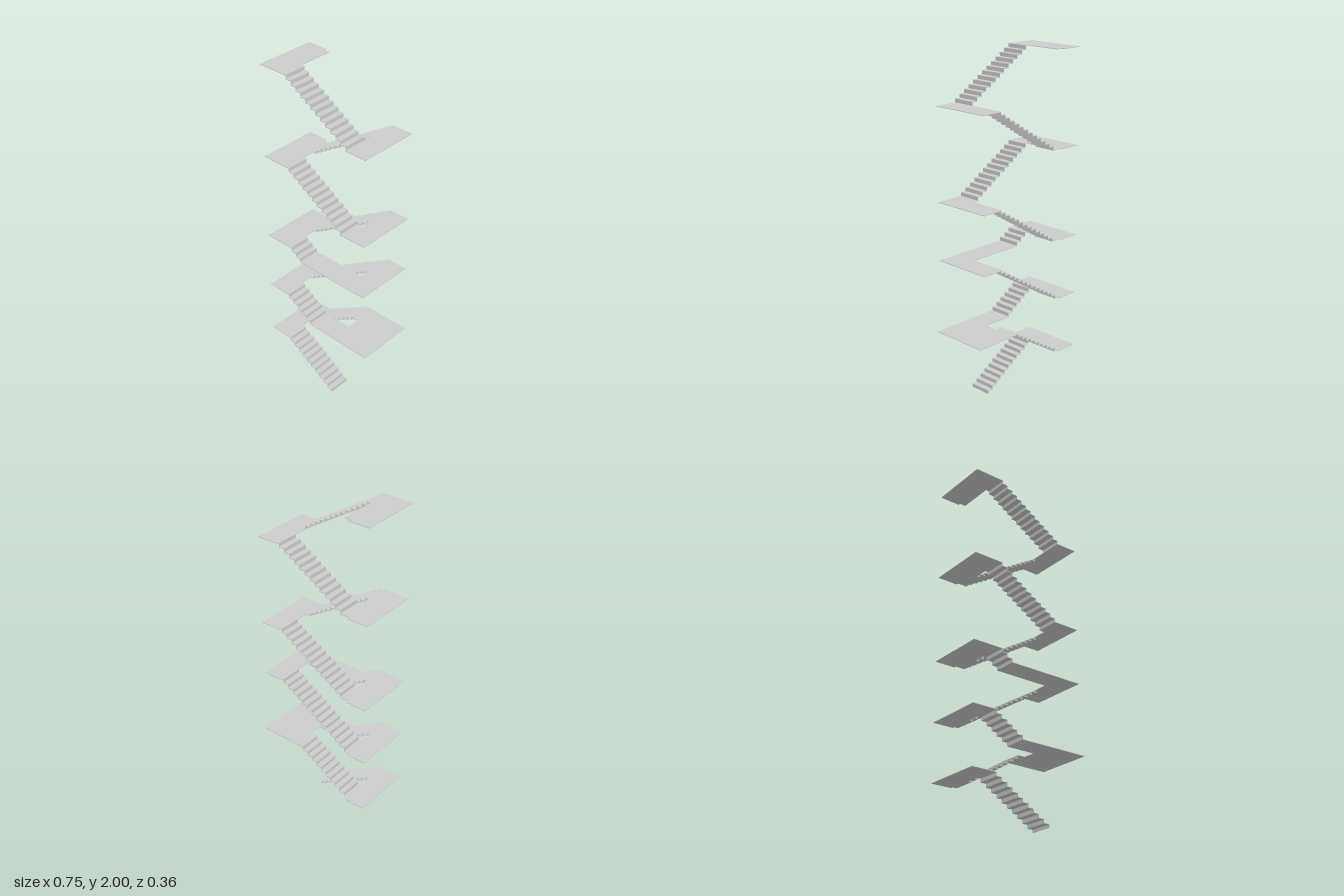
import * as THREE from 'three';
import { mergeGeometries } from 'three/addons/utils/BufferGeometryUtils.js';

const RISE = 2 / 95;      // height of one step
const GOING = 0.034;      // depth of one tread
const THICK = 0.003;      // plate thickness
const FRONT = [0.045, 0.18];
const BACK = [-0.165, -0.03];

const material = new THREE.MeshStandardMaterial({
  color: 0xcccccc, flatShading: true, side: THREE.DoubleSide,
});

function addMesh(group, name, geometry) {
  const mesh = new THREE.Mesh(geometry, material);
  mesh.name = name;
  group.add(mesh);
}

// A run of thin treads joined by sheet risers; dir is the climbing direction in x
function flight(startX, startY, rises, dir, [z0, z1]) {
  const parts = [];
  const width = z1 - z0, z = (z0 + z1) / 2;
  for (let i = 0; i < rises; i++) {
    const x = startX + dir * i * GOING;
    const y = startY + i * RISE;
    parts.push(new THREE.PlaneGeometry(width, RISE)
      .rotateY(-dir * Math.PI / 2)
      .translate(x, y + RISE / 2, z));
    if (i < rises - 1) {
      parts.push(new THREE.BoxGeometry(GOING, THICK, width)
        .translate(x + dir * GOING / 2, y + RISE - THICK / 2, z));
    }
  }
  return mergeGeometries(parts);
}

// A thin plate from an outline of [x, z] corners, top face at height y
function plate(outline, y) {
  const shape = new THREE.Shape(outline.map(([x, z]) => new THREE.Vector2(x, z)));
  return new THREE.ExtrudeGeometry(shape, { depth: THICK, bevelEnabled: false })
    .rotateX(Math.PI / 2)
    .translate(0, y, 0);
}

// Landing on the -x side; front and back are where its flights meet it
function rightLanding(front, middle, back, y) {
  return plate([
    [-0.375, -0.18], [-0.25, -0.18], [-0.25, BACK[0]], [back, BACK[0]], [back, BACK[1]],
    [middle, BACK[1]], [middle, FRONT[0]], [front, FRONT[0]], [front, FRONT[1]], [-0.375, FRONT[1]],
  ], y);
}

// Landing on the +x side, some with a long front walkway
function leftLanding(front, middle, back, outer, y) {
  const rear = outer > 0.36 ? BACK[0] - 0.001 : -0.175;
  return plate([
    [outer, FRONT[1]], [front, FRONT[1]], [front, FRONT[0]], [middle, FRONT[0]],
    [middle, BACK[1]], [back, BACK[1]], [back, BACK[0]], [0.228, BACK[0]],
    [0.228, rear], [outer, rear],
  ], y);
}

export function createModel() {
  const model = new THREE.Group();
  model.name = 'staircase';

  // Each storey: front flight up to the -x landing, back flight up to the +x landing
  const storeys = [
    { start: 0.115, up: 11, back: 10, next: -0.055, middle: 0.128, outer: 0.375 },
    { start: -0.055, up: 6, back: 14, next: -0.123, middle: 0.217, outer: 0.35 },
    { start: -0.123, up: 3, back: 13, next: 0.183, middle: 0.217, outer: 0.35 },
    { start: 0.183, up: 12, back: 13, next: 0.217, middle: 0.217, outer: 0.35 },
    { start: 0.217, up: 13, back: 0 },
  ];

  let steps = 0;
  for (const s of storeys) {
    addMesh(model, 'frontFlight', flight(s.start, steps * RISE, s.up, -1, FRONT));
    steps += s.up;
    const turn = s.start - (s.up - 1) * GOING;
    const inner = turn - 0.022;
    addMesh(model, 'rightLanding', rightLanding(turn, inner, s.back ? turn : inner, steps * RISE));
    if (!s.back) continue;

    addMesh(model, 'backFlight', flight(turn, steps * RISE, s.back, 1, BACK));
    steps += s.back;
    const arrive = turn + (s.back - 1) * GOING;
    addMesh(model, 'leftLanding', leftLanding(s.next, s.middle, arrive, s.outer, steps * RISE));
  }
  return model;
}
